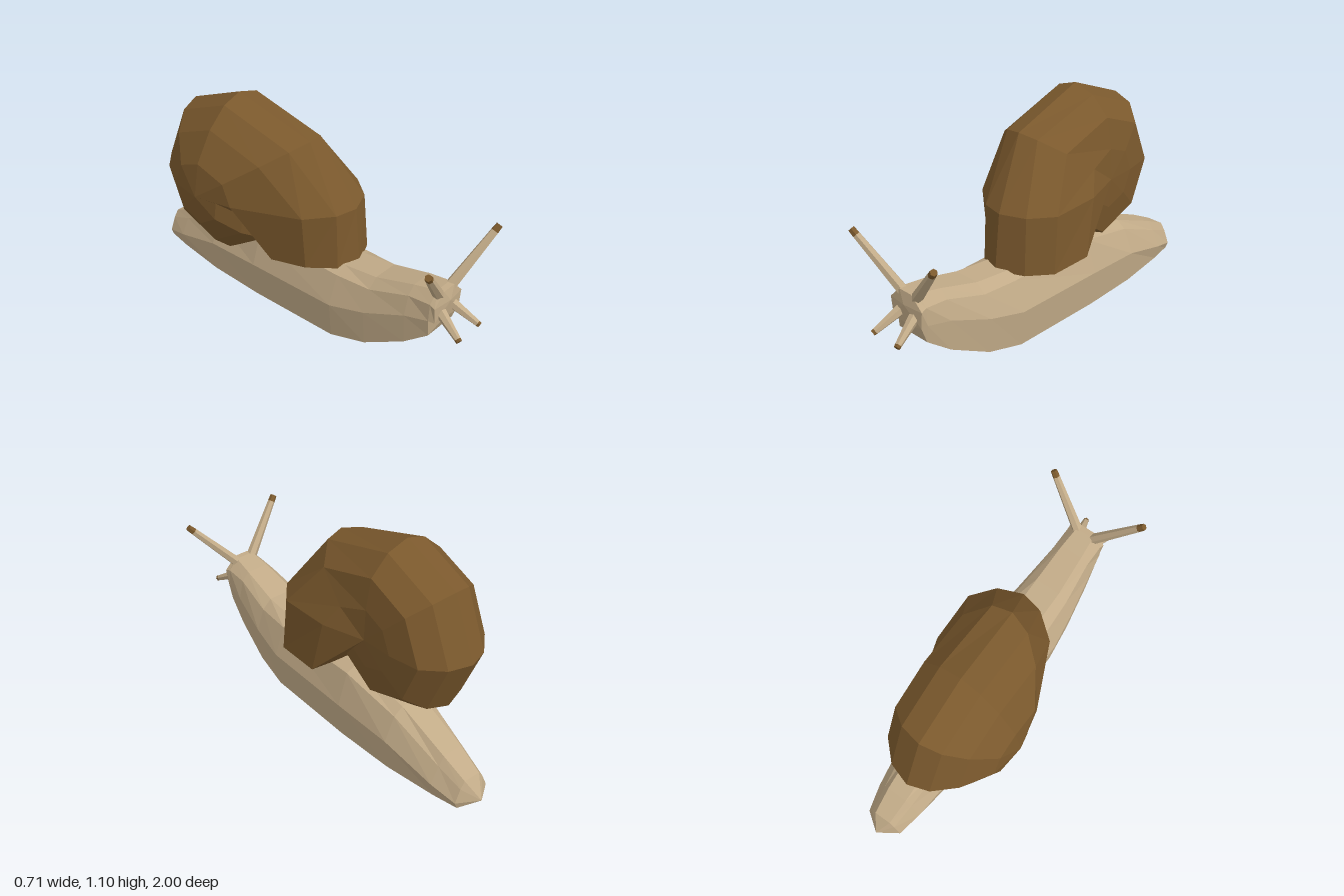
import * as THREE from 'three';

const skin = new THREE.MeshStandardMaterial({ color: 0xc2ab88 });
skin.name = 'skin';
const shellBrown = new THREE.MeshStandardMaterial({ color: 0x7b592d });
shellBrown.name = 'shellBrown';

const CX = 0.07; // the body's centre line

// Faceted skin over a list of rings, with optional pointed caps
function loft(rings, closed, startApex, endApex) {
  const pos = [];
  const tri = (...pts) => pts.forEach((p) => pos.push(...p));
  const n = rings[0].length;
  for (let i = 0; i < rings.length - 1; i++) {
    for (let j = 0; j < (closed ? n : n - 1); j++) {
      const k = (j + 1) % n;
      const [a, b, c, d] = [rings[i][j], rings[i][k], rings[i + 1][k], rings[i + 1][j]];
      tri(a, b, c);
      tri(a, c, d);
    }
  }
  const first = rings[0], last = rings[rings.length - 1];
  for (let j = 0; j < n; j++) {
    const k = (j + 1) % n;
    if (startApex) tri(startApex, first[k], first[j]);
    if (endApex) tri(endApex, last[j], last[k]);
  }
  const geo = new THREE.BufferGeometry();
  geo.setAttribute('position', new THREE.Float32BufferAttribute(pos, 3));
  geo.computeVertexNormals();
  return geo;
}

function mesh(name, geo, mat) {
  const m = new THREE.Mesh(geo, mat);
  m.name = name;
  return m;
}

// Body: mirrored eight-point sections from head to tail
function makeBody() {
  // z, then half width and height of sole, side, shoulder and back
  const sections = [
    [0.86, 0.045, 0.31, 0.095, 0.325, 0.105, 0.41, 0.04, 0.475],
    [0.83, 0.095, 0.24, 0.105, 0.33, 0.1, 0.42, 0.05, 0.475],
    [0.71, 0.115, 0.15, 0.125, 0.31, 0.1, 0.41, 0.06, 0.452],
    [0.5, 0.145, 0.045, 0.16, 0.235, 0.12, 0.35, 0.07, 0.395],
    [0.31, 0.165, 0.003, 0.185, 0.195, 0.13, 0.345, 0.07, 0.375],
    [-0.2, 0.165, 0, 0.185, 0.19, 0.13, 0.36, 0.07, 0.385],
    [-0.52, 0.15, 0, 0.165, 0.165, 0.11, 0.29, 0.06, 0.325],
    [-0.8, 0.11, 0, 0.13, 0.08, 0.085, 0.165, 0.055, 0.21],
    [-0.93, 0.085, 0.003, 0.1, 0.04, 0.07, 0.11, 0.045, 0.145],
  ];
  const rings = sections.map(([z, ...s]) => {
    const half = [0, 2, 4, 6].map((i) => [s[i], s[i + 1]]);
    return [
      ...half.map(([w, y]) => [CX - w, y, z]),
      ...half.reverse().map(([w, y]) => [CX + w, y, z]),
    ];
  });
  return mesh('body', loft(rings, true, [CX, 0.415, 0.875], [CX, 0.05, -1]), skin);
}

// Shell: opening at the front, then a whorl swept over the top and back
function makeShell() {
  const cy = 0.65, cz = -0.345;
  const rings = [];
  // rim of the opening, as x and z
  const rim = [[-0.05, -0.2], [-0.19, 0], [-0.13, 0.17], [-0.03, 0.29], [0.085, 0.33],
    [0.22, 0.27], [0.31, 0.16], [0.31, -0.07], [0.1, -0.1]];
  rings.push(rim.map(([x, z]) => [x, 0.36, z]));

  // section points are x and share of the outer radius
  const front = [[-0.355, 0], [-0.31, 0.3], [-0.16, 0.8], [-0.03, 0.96], [0.085, 1],
    [0.21, 0.92], [0.3, 0.74], [0.29, 0.33], [0.22, 0]];
  const shoulder = [[-0.355, 0], [-0.32, 0.37], [-0.22, 0.71], [-0.11, 0.92], [0, 1],
    [0.1, 0.95], [0.2, 0.73], [0.235, 0.35], [0.22, 0]];
  const whorl = [[-0.355, 0], [-0.325, 0.38], [-0.235, 0.71], [-0.135, 0.92], [-0.03, 1],
    [0.085, 0.92], [0.18, 0.71], [0.21, 0.36], [0.22, 0]];
  const addSection = (points, dz, dy) =>
    rings.push(points.map(([x, f]) => [x, cy + dy * f, cz + dz * f]));

  addSection(front, 0.645, 0);
  addSection(shoulder, 0.425, 0.315);
  [0.445, 0.445, 0.445, 0.445, 0.435, 0.37, 0.3].forEach((r, i) => {
    const a = Math.PI / 2 + (i * Math.PI) / 4;
    addSection(whorl, r * Math.cos(a), r * Math.sin(a));
  });
  return mesh('shell', loft(rings, false, [0.07, 0.36, 0.08]), shellBrown);
}

// Tapered six-sided rod between two points
function rod(name, from, to, r0, r1, mat) {
  const dir = to.clone().sub(from);
  let geo = new THREE.CylinderGeometry(r1, r0, dir.length(), 6).toNonIndexed();
  geo.computeVertexNormals();
  const m = mesh(name, geo, mat);
  m.position.copy(from).add(to).multiplyScalar(0.5);
  m.quaternion.setFromUnitVectors(new THREE.Vector3(0, 1, 0), dir.normalize());
  return m;
}

// Feeler with a brown end
function makeFeeler(name, from, to, r0, r1, tipShare) {
  const g = new THREE.Group();
  g.name = name;
  const a = new THREE.Vector3(...from), b = new THREE.Vector3(...to);
  const split = a.clone().lerp(b, 1 - tipShare);
  g.add(rod(name + 'Stem', a, split, r0, r1, skin));
  g.add(rod(name + 'Tip', split, b, r1, r1 * 0.9, shellBrown));
  return g;
}

export function createModel() {
  const model = new THREE.Group();
  model.name = 'snail';
  model.add(makeBody(), makeShell());
  for (const [side, s] of [['left', 1], ['right', -1]]) {
    model.add(makeFeeler(side + 'EyeStalk',
      [CX + s * 0.045, 0.45, 0.835], [CX + s * 0.273, 0.71, 0.922], 0.028, 0.019, 0.1));
    model.add(makeFeeler(side + 'Feeler',
      [CX + s * 0.045, 0.365, 0.85], [CX + s * 0.082, 0.283, 0.99], 0.028, 0.016, 0.08));
  }
  return model;
}
